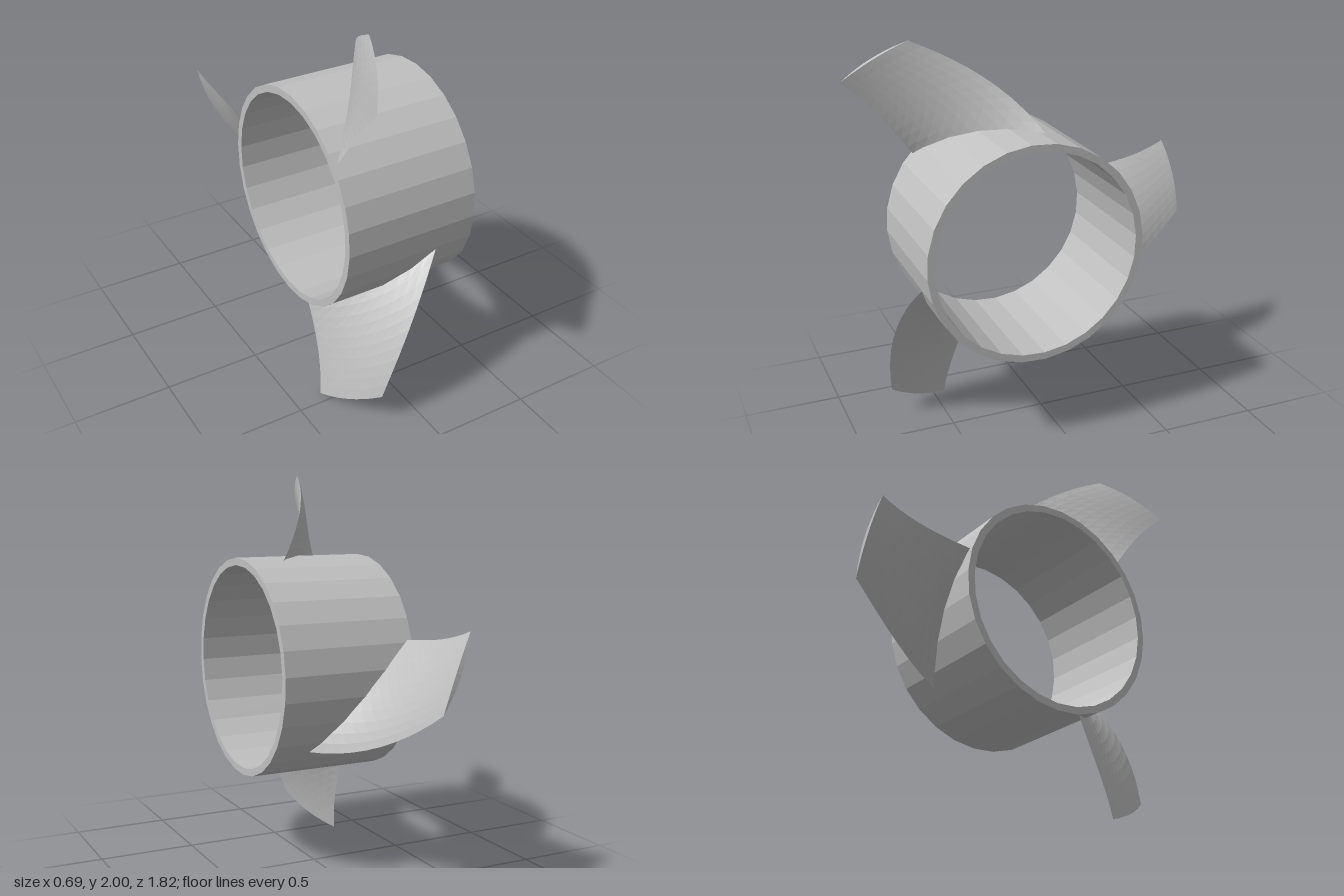
import * as THREE from 'three';

const rad = THREE.MathUtils.degToRad;
const HUB = { r: 0.557, inner: 0.52, x0: -0.35, x1: 0.345, sides: 28 };

// Blade edges as [x, degrees around the axis] at root, middle and tip
const R = [0.56, 0.78, 1.067];
const trailing = [[0.145, -11.8], [-0.04, 6.7], [-0.195, 24.6]];
const leading = [[-0.325, 47.5], [-0.325, 44.5], [-0.35, 44.6]];

// Quadratic through the three stations at radius r
function edgeAt(edge, r, k) {
  const [a, b, c] = R;
  return edge[0][k] * (r - b) * (r - c) / ((a - b) * (a - c))
    + edge[1][k] * (r - a) * (r - c) / ((b - a) * (b - c))
    + edge[2][k] * (r - a) * (r - b) / ((c - a) * (c - b));
}

// Twisted blade: lens-shaped sections stacked outward along the radius
function bladeGeometry() {
  const rows = 10, half = 10, n = half * 2, r0 = 0.545;
  const pos = [], idx = [];
  for (let i = 0; i <= rows; i++) {
    const t = i / rows, r = r0 + (R[2] - r0) * t;
    const ax = edgeAt(trailing, r, 0), aArc = rad(edgeAt(trailing, r, 1)) * r;
    const dx = edgeAt(leading, r, 0) - ax;
    const dArc = rad(edgeAt(leading, r, 1)) * r - aArc;
    const len = Math.hypot(dx, dArc), thick = 0.022 - 0.008 * t;
    for (let j = 0; j < n; j++) {
      const s = j <= half ? j / half : (n - j) / half;
      const off = (j <= half ? 1 : -1) * thick * 4 * s * (1 - s);
      const x = ax + dx * s + (dArc / len) * off;
      const ang = (aArc + dArc * s - (dx / len) * off) / r;
      pos.push(x, r * Math.cos(ang), r * Math.sin(ang));
    }
  }
  for (let i = 0; i < rows; i++) {
    for (let j = 0; j < n; j++) {
      const a = i * n + j, b = i * n + (j + 1) % n;
      idx.push(a, a + n, b, b, a + n, b + n);
    }
  }
  // tip face, bridged between the two sides of the lens
  const top = rows * n;
  for (let j = 0; j < half; j++) {
    const a = top + j, b = top + j + 1;
    const c = top + (n - j) % n, d = top + n - j - 1;
    if (j > 0) idx.push(a, c, b);
    if (j < half - 1) idx.push(b, c, d);
  }
  const geo = new THREE.BufferGeometry();
  geo.setAttribute('position', new THREE.Float32BufferAttribute(pos, 3));
  geo.setIndex(idx);
  geo.computeVertexNormals();
  return geo;
}

export function createModel() {
  const model = new THREE.Group();
  model.name = 'propeller';
  const grey = new THREE.MeshStandardMaterial({ color: 0xc0c0c0, flatShading: true });
  grey.name = 'light grey';

  // Open hub ring, axis along x
  const profile = [
    [HUB.r, HUB.x0], [HUB.r, HUB.x1], [HUB.inner, HUB.x1], [HUB.inner, HUB.x0], [HUB.r, HUB.x0],
  ].map(([r, h]) => new THREE.Vector2(r, h));
  const hub = new THREE.Mesh(new THREE.LatheGeometry(profile, HUB.sides, 0.059), grey);
  hub.geometry.rotateZ(-Math.PI / 2);
  hub.name = 'hubRing';
  model.add(hub);

  // Three equal blades
  const geo = bladeGeometry();
  for (let k = 0; k < 3; k++) {
    const blade = new THREE.Mesh(geo, grey);
    blade.rotation.x = k * Math.PI * 2 / 3;
    blade.name = 'blade' + (k + 1);
    model.add(blade);
  }

  for (const part of model.children) part.position.set(0, 1.03, 0.155);
  return model;
}
